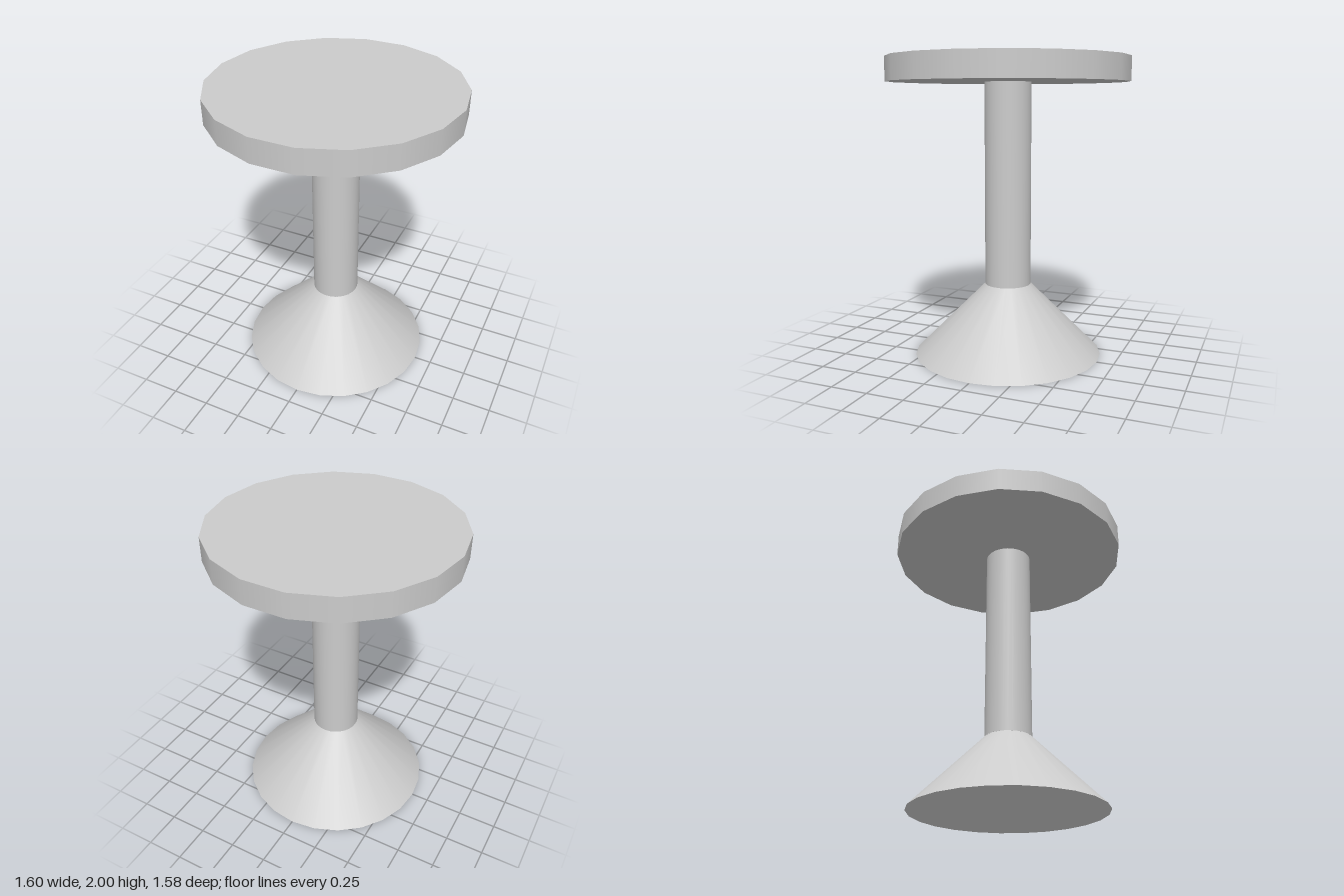
import * as THREE from 'three';

export function createModel() {
  const group = new THREE.Group();
  group.name = 'pedestalStool';
  const solid = new THREE.MeshStandardMaterial({ color: 0xcccccc });
  const open = new THREE.MeshStandardMaterial({ color: 0xcccccc, side: THREE.DoubleSide });

  // Upright round part between two heights, with a corner on the x axis
  const addRound = (name, rTop, rBottom, y0, y1, sides, openEnded = false) => {
    const geometry = new THREE.CylinderGeometry(rTop, rBottom, y1 - y0, sides, 1, openEnded, Math.PI / 2);
    const mesh = new THREE.Mesh(geometry, openEnded ? open : solid);
    mesh.name = name;
    mesh.position.y = (y0 + y1) / 2;
    group.add(mesh);
  };

  // Flared hollow foot, column and round seat
  addRound('base', 0.155, 0.635, 0, 0.48, 24, true);
  addRound('column', 0.155, 0.155, 0.48, 1.84, 32);
  addRound('seat', 0.8, 0.8, 1.84, 2, 18);

  return group;
}
